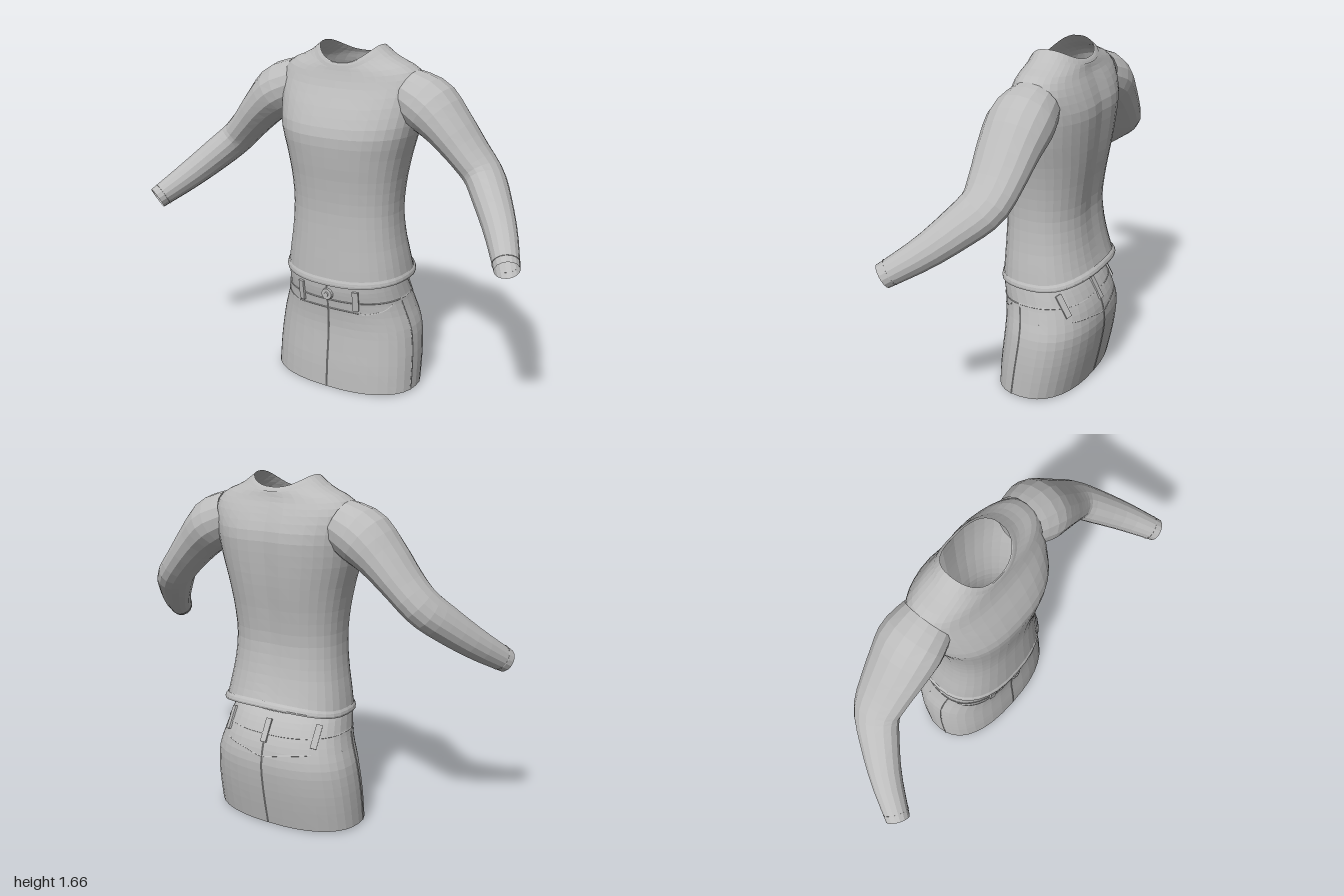
import * as THREE from 'three';
import { ParametricGeometry } from 'three/addons/geometries/ParametricGeometry.js';

const POWER = 2.4; // squareness of the body cross-sections

// Catmull-Rom interpolation through rows of numbers, v in 0..1
function sampleRows(rows, v) {
  const p = Math.min(Math.max(v, 0), 1) * (rows.length - 1);
  const i = Math.min(Math.floor(p), rows.length - 2);
  const t = p - i;
  const r = k => rows[Math.min(Math.max(k, 0), rows.length - 1)];
  return rows[0].map((_, c) => {
    const a = r(i - 1)[c], b = r(i)[c], d = r(i + 1)[c], e = r(i + 2)[c];
    return b + 0.5 * t * (d - a + t * (2 * a - 5 * b + 4 * d - e + t * (3 * (b - d) + e - a)));
  });
}

// Point on a body shell; rows are [side y, front y, back y, half width, front z, back z]
function bodyPoint(rows, v, angle, groove = 0) {
  const [ys, yf, yb, hw, zf, zb] = sampleRows(rows, v);
  const c = Math.cos(angle), s = Math.sin(angle);
  const round = k => Math.sign(k) * Math.abs(k) ** (2 / POWER);
  const x = hw * round(c);
  let z = (zf + zb) / 2 + (zf - zb) / 2 * round(s);
  if (s < 0) z += groove * Math.sin(Math.PI * v) * Math.exp(-((x / 0.07) ** 2));
  return new THREE.Vector3(x, ys + ((s > 0 ? yf : yb) - ys) * s * s, z);
}

// Surface point found from x and y, on the front (1) or the back (-1)
function pin(rows, x, y, face) {
  let lo = 0, hi = 1, angle = 0;
  for (let i = 0; i < 24; i++) {
    const v = (lo + hi) / 2;
    const k = Math.min(Math.abs(x) / sampleRows(rows, v)[3], 1) ** (POWER / 2);
    angle = face * Math.acos(Math.sign(x) * k);
    if (bodyPoint(rows, v, angle).y < y) lo = v; else hi = v;
  }
  return bodyPoint(rows, lo, angle);
}

const shirtRows = [
  [0.575, 0.55, 0.612, 0.315, 0.172, -0.292],
  [0.66, 0.64, 0.68, 0.302, 0.167, -0.27],
  [0.77, 0.76, 0.78, 0.283, 0.16, -0.247],
  [0.90, 0.90, 0.90, 0.273, 0.155, -0.235],
  [1.03, 1.03, 1.03, 0.282, 0.163, -0.248],
  [1.16, 1.16, 1.16, 0.306, 0.178, -0.268],
  [1.28, 1.27, 1.28, 0.338, 0.182, -0.281],
  [1.40, 1.37, 1.40, 0.355, 0.143, -0.285],
  [1.50, 1.47, 1.49, 0.365, 0.09, -0.255],
  [1.565, 1.535, 1.55, 0.325, 0.066, -0.226],
  [1.61, 1.565, 1.59, 0.225, 0.058, -0.212],
  [1.66, 1.578, 1.605, 0.155, 0.05, -0.2],
];
const hemRows = [
  [0.565, 0.543, 0.605, 0.322, 0.178, -0.303],
  [0.58, 0.56, 0.62, 0.324, 0.179, -0.303],
  [0.597, 0.577, 0.636, 0.315, 0.172, -0.288],
];
const collarRows = [
  [1.638, 1.556, 1.588, 0.185, 0.062, -0.215],
  [1.655, 1.578, 1.603, 0.162, 0.056, -0.206],
  [1.662, 1.584, 1.608, 0.153, 0.049, -0.199],
];
const skirtRows = [
  [0.015, 0.005, 0.005, 0.382, 0.172, -0.255],
  [0.12, 0.12, 0.12, 0.38, 0.166, -0.28],
  [0.22, 0.22, 0.22, 0.374, 0.156, -0.298],
  [0.32, 0.32, 0.32, 0.36, 0.148, -0.308],
  [0.40, 0.40, 0.40, 0.334, 0.151, -0.296],
  [0.47, 0.46, 0.46, 0.314, 0.158, -0.272],
  [0.53, 0.51, 0.52, 0.303, 0.166, -0.238],
  [0.58, 0.548, 0.56, 0.294, 0.168, -0.205],
];

// Sleeve rows: centre x, y, z, then half height and half depth
const sleeveRows = [
  [0.29, 1.455, -0.085, 0.115, 0.125],
  [0.40, 1.405, -0.082, 0.128, 0.152],
  [0.50, 1.32, -0.078, 0.105, 0.142],
  [0.60, 1.215, -0.076, 0.086, 0.125],
  [0.68, 1.13, -0.062, 0.082, 0.11],
  [0.75, 1.055, 0.005, 0.08, 0.095],
  [0.85, 0.948, 0.125, 0.07, 0.074],
  [0.945, 0.847, 0.272, 0.054, 0.056],
];

function sleevePoint(v, angle, target) {
  const [x, y, z, h, d] = sampleRows(sleeveRows, v);
  const a = sampleRows(sleeveRows, v - 0.03), b = sampleRows(sleeveRows, v + 0.03);
  const dir = new THREE.Vector3(b[0] - a[0], b[1] - a[1], b[2] - a[2]).normalize();
  const up = new THREE.Vector3(-dir.y, dir.x, 0).normalize();
  const out = new THREE.Vector3().crossVectors(dir, up);
  return target.set(x, y, z).addScaledVector(up, h * Math.cos(angle)).addScaledVector(out, d * Math.sin(angle));
}

export function createModel() {
  const model = new THREE.Group();
  model.name = 'outfit';
  const cloth = new THREE.MeshStandardMaterial({ color: 0xbcbcbc, flatShading: true, side: THREE.DoubleSide });
  cloth.name = 'grey cloth';

  const add = (parent, name, geometry) => {
    const mesh = new THREE.Mesh(geometry, cloth);
    mesh.name = name;
    parent.add(mesh);
    return mesh;
  };
  const shell = (parent, name, rows, sides, stacks, groove) => add(parent, name, new ParametricGeometry(
    (u, v, p) => p.copy(bodyPoint(rows, v, -2 * Math.PI * u, groove)), sides, stacks));
  const seam = (parent, name, points, closed = false, radius = 0.003) => add(parent, name,
    new THREE.TubeGeometry(new THREE.CatmullRomCurve3(points, closed), points.length * 3, radius, 4, closed));

  // Shirt
  const shirt = new THREE.Group();
  shirt.name = 'shirt';
  shell(shirt, 'shirtBody', shirtRows, 36, 26, 0.016);
  shell(shirt, 'shirtHem', hemRows, 36, 3);
  shell(shirt, 'collar', collarRows, 36, 3);
  for (const side of [1, -1]) {
    const arm = new THREE.Group();
    arm.name = side > 0 ? 'leftSleeve' : 'rightSleeve';
    arm.scale.x = side;
    add(arm, 'sleeve', new ParametricGeometry(
      (u, v, p) => sleevePoint(v, 2 * Math.PI * u, p), 16, 18));
    const cuff = [];
    for (let i = 0; i < 12; i++) cuff.push(sleevePoint(0.965, i * Math.PI / 6, new THREE.Vector3()));
    seam(arm, 'cuffSeam', cuff, true, 0.002);
    shirt.add(arm);
  }
  model.add(shirt);

  // Skirt
  const skirt = new THREE.Group();
  skirt.name = 'skirt';
  shell(skirt, 'skirtBody', skirtRows, 36, 16);
  const path = (pts, face) => pts.map(([x, y]) => pin(skirtRows, x, y, face));
  const band = [];
  for (let i = 0; i < 36; i++) band.push(bodyPoint(skirtRows, 0.73, i * Math.PI / 18));
  seam(skirt, 'waistbandSeam', band, true);
  seam(skirt, 'frontSeam', path([[0, 0.01], [0, 0.12], [0, 0.22], [0, 0.32], [0, 0.42], [0, 0.54]], 1));
  seam(skirt, 'backSeam', path([[0, 0.01], [0, 0.12], [0, 0.22], [0, 0.32], [0, 0.42], [0, 0.5]], -1));
  seam(skirt, 'backYoke', path([[-0.33, 0.4], [-0.22, 0.4], [-0.1, 0.385], [0, 0.365], [0.1, 0.385], [0.22, 0.4], [0.33, 0.4]], -1));
  seam(skirt, 'frontYoke', path([[-0.16, 0.415], [-0.08, 0.42], [0, 0.42], [0.08, 0.42], [0.16, 0.415]], 1));

  // Belt loop standing on the waistband
  const beltLoop = (name, x, face) => {
    const low = pin(skirtRows, x, 0.43, face), high = pin(skirtRows, x, 0.53, face);
    const mid = low.clone().add(high).multiplyScalar(0.5);
    const up = high.clone().sub(low);
    const length = up.length();
    up.normalize();
    const near = pin(skirtRows, x * 0.94 + 0.004, mid.y, face);
    const across = near.sub(pin(skirtRows, x, mid.y, face)).normalize();
    if (across.x < 0) across.negate();
    const normal = across.clone().cross(up).normalize();
    across.crossVectors(up, normal);
    const mesh = add(skirt, name, new THREE.BoxGeometry(0.03, length, 0.012));
    mesh.quaternion.setFromRotationMatrix(new THREE.Matrix4().makeBasis(across, up, normal));
    mesh.position.copy(mid).addScaledVector(normal, 0.004 * face);
  };
  beltLoop('backLoop', 0, -1);

  for (const side of [1, -1]) {
    const label = side > 0 ? 'left' : 'right';
    const sidePoints = [];
    for (let i = 0; i <= 7; i++) sidePoints.push(bodyPoint(skirtRows, i / 10, side > 0 ? 0.16 : Math.PI - 0.16));
    seam(skirt, label + 'SideSeam', sidePoints);
    seam(skirt, label + 'PocketEdge', path(
      [[0.295, 0.46], [0.27, 0.435], [0.22, 0.418], [0.17, 0.415], [0.162, 0.47]].map(([x, y]) => [x * side, y]), 1));
    beltLoop(label + 'FrontLoop', side * 0.15, 1);
    beltLoop(label + 'BackLoop', side * 0.24, -1);
  }

  // Waist button
  const button = add(skirt, 'button', new THREE.CylinderGeometry(0.027, 0.03, 0.014, 14));
  button.rotation.x = Math.PI / 2;
  button.position.copy(pin(skirtRows, 0.005, 0.497, 1)).z += 0.005;
  const rivet = add(skirt, 'buttonCentre', new THREE.CylinderGeometry(0.01, 0.012, 0.006, 10));
  rivet.rotation.x = Math.PI / 2;
  rivet.position.copy(button.position).z += 0.009;
  model.add(skirt);

  return model;
}
